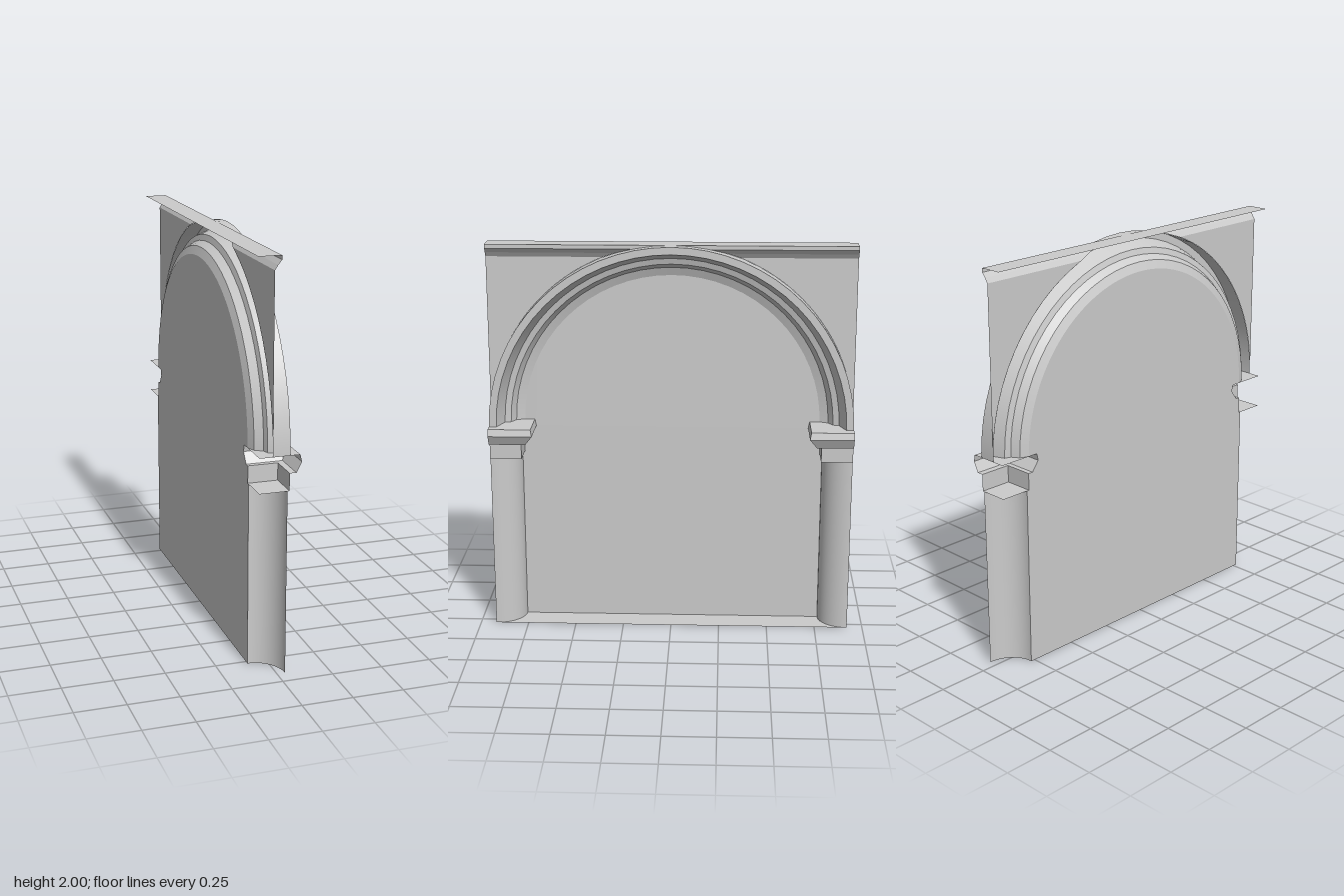
import * as THREE from 'three';
import { mergeGeometries } from 'three/addons/utils/BufferGeometryUtils.js';

const material = new THREE.MeshStandardMaterial({ color: 0xcccccc, side: THREE.DoubleSide });

const W = 0.92;        // half width, also the outer arch radius
const SPRING = 1.08;   // height where the arch starts
const BACK = -0.097;   // plane of the recessed panel
const REAR = -0.11;    // rear edge of the top and floor strips
const WALL = -0.033;   // plane of the spandrels
const RX = 0.137, RZ = 0.148; // half-column radii

// Cornice section from the rear downwards: [x, y]
const cornice = [[REAR, 2], [0, 2], [0, 1.98], [-0.018, 1.958], [-0.02, 1.955], [WALL, 1.935]];

// Capital section from the top downwards: [y, front x, inner z]
const capital = [
  [1.08, 0.1, 0.705], [1.045, 0.108, 0.698], [0.995, 0.082, 0.735],
  [0.995, 0.05, 0.76], [0.91, 0.05, 0.76],
];

function part(name, geometry) {
  const mesh = new THREE.Mesh(geometry, material);
  mesh.name = name;
  return mesh;
}

// Flat-faced sheet between rows of [x, y, z] points
function sheet(rows) {
  const pos = [];
  for (let i = 0; i < rows.length - 1; i++) {
    for (let j = 0; j < rows[i].length - 1; j++) {
      const a = rows[i][j], b = rows[i][j + 1], c = rows[i + 1][j], d = rows[i + 1][j + 1];
      pos.push(...a, ...b, ...c, ...b, ...d, ...c);
    }
  }
  const g = new THREE.BufferGeometry();
  g.setAttribute('position', new THREE.Float32BufferAttribute(pos, 3));
  g.computeVertexNormals();
  return g;
}

// Shape drawn in (-z, y), turned to face +x
function upright(shape, x) {
  return new THREE.ShapeGeometry(shape, 32).rotateY(Math.PI / 2).translate(x, 0, 0);
}

// Half of the arch circle at a given height
const archZ = (y) => Math.sqrt(Math.max(0, W * W - (y - SPRING) ** 2));

// Front of the wall and cornice at a given height
function wallX(y) {
  for (let i = 2; i < cornice.length - 1; i++) {
    const [x0, y0] = cornice[i], [x1, y1] = cornice[i + 1];
    if (y >= y0) return x0;
    if (y > y1) return x1 + (x0 - x1) * (y - y1) / (y0 - y1);
  }
  return WALL;
}

// Stepped arch: one smooth band per pair of section points [radius, x]
function archGeometry() {
  const section = [
    [W, WALL], [W, 0.052], [0.883, 0.052], [0.85, WALL], [0.82, -0.042],
    [0.797, -0.08], [0.755, BACK],
  ];
  const bands = [];
  for (let i = 0; i < section.length - 1; i++) {
    const pts = [section[i + 1], section[i]].map(([r, x]) => new THREE.Vector2(r, -x));
    const g = new THREE.LatheGeometry(pts, 32, 0, Math.PI).rotateZ(Math.PI / 2).translate(0, SPRING, 0);
    if (i === 0) { // the outer band stops against the cornice
      const p = g.attributes.position;
      for (let k = 0; k < p.count; k++) if (p.getX(k) < 0) p.setX(k, wallX(p.getY(k)));
    }
    bands.push(g);
  }
  return mergeGeometries(bands);
}

// Recessed panel, cut around the capitals and columns
function panelGeometry() {
  const s = new THREE.Shape();
  const edge = [...capital.map(([y, , z]) => [z, y]), [W - RZ, 0.91], [W - RZ, 0]];
  s.absarc(0, SPRING, 0.755, 0, Math.PI, false);
  edge.forEach(([z, y]) => s.lineTo(-z, y));
  edge.reverse().forEach(([z, y]) => s.lineTo(z, y));
  s.closePath();
  return upright(s, BACK);
}

// Floor strip under the panel and columns
function floorGeometry() {
  const s = new THREE.Shape();
  s.moveTo(REAR, -W);
  s.absellipse(BACK, -W, RX, RZ, 0, Math.PI / 2, false);
  s.absellipse(BACK, W, RX, RZ, -Math.PI / 2, 0, false);
  s.lineTo(REAR, W);
  s.closePath();
  return new THREE.ShapeGeometry(s, 12).rotateX(Math.PI / 2);
}

// Parts of the +z half, mirrored for the other half
function side(name, sign) {
  const g = new THREE.Group();
  g.name = name;

  const column = new THREE.CylinderGeometry(1, 1, 0.91, 12, 1, true, Math.PI / 2, Math.PI / 2)
    .scale(RX, 1, RZ).translate(BACK, 0.455, W);
  g.add(part('column', column));

  // Capital rings closed by collapsing to the rear corner
  const ring = ([y, x, z]) => [[BACK, y, z], [x, y, z], [x, y, W]];
  const end = (y) => Array(3).fill([BACK, y, W]);
  g.add(part('capital', sheet([end(SPRING), ...capital.map(ring), end(0.91)])));

  // Spandrel between arch and cornice
  const top = 1.935, a = Math.asin((top - SPRING) / W);
  const s = new THREE.Shape();
  s.moveTo(-W, SPRING);
  s.lineTo(-W, top);
  s.lineTo(-archZ(top), top);
  s.absarc(0, SPRING, W, Math.PI - a, Math.PI, false);
  g.add(part('spandrel', upright(s, WALL)));

  g.add(part('cornice', sheet(cornice.map(([x, y]) => [[x, y, archZ(y)], [x, y, W]]))));
  g.scale.z = sign;
  return g;
}

export function createModel() {
  const model = new THREE.Group();
  model.name = 'archedNiche';
  model.add(
    part('arch', archGeometry()),
    part('panel', panelGeometry()),
    part('floorStrip', floorGeometry()),
    side('frontSide', 1),
    side('backSide', -1),
  );
  return model;
}
